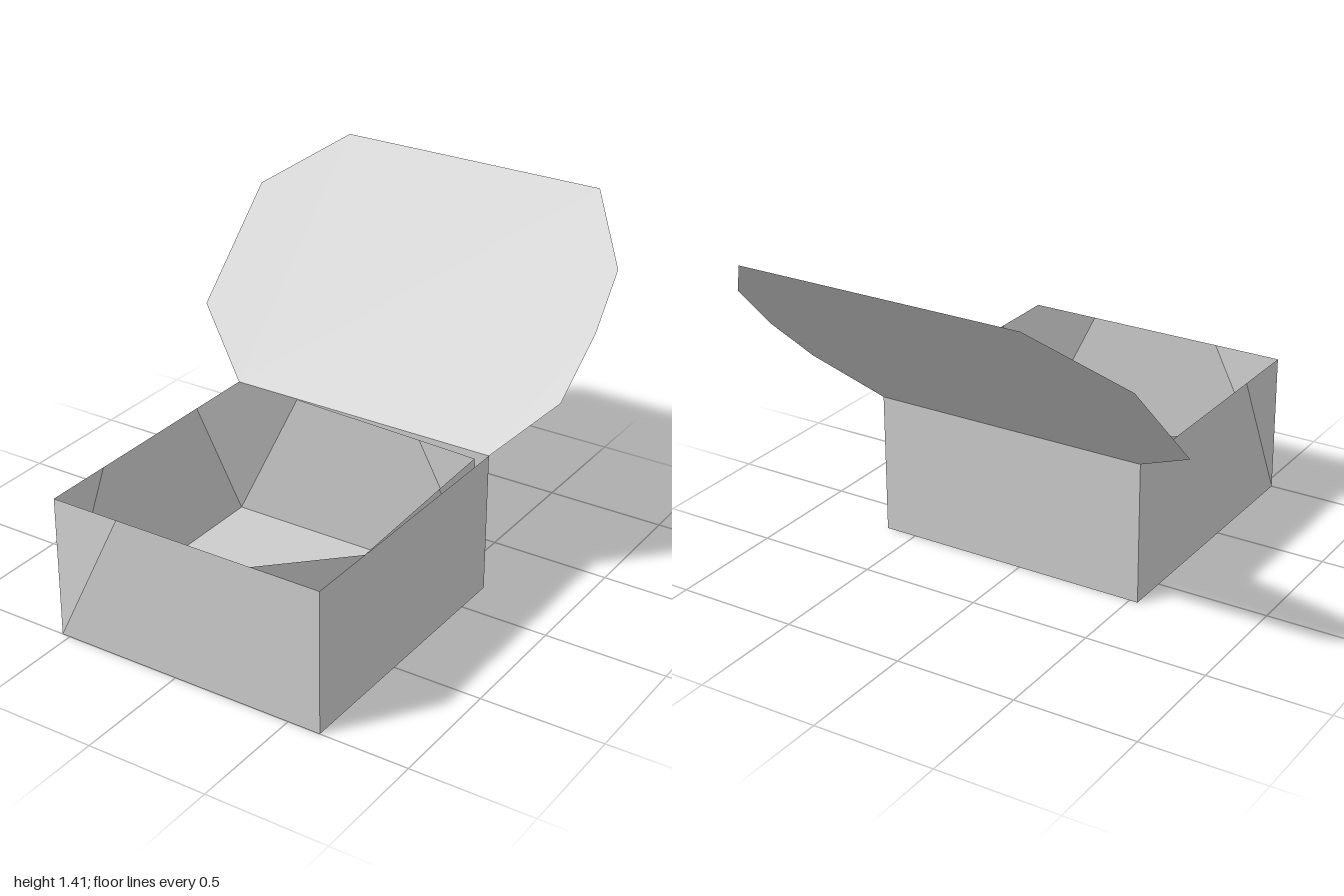
import * as THREE from 'three';

const X0 = -0.535, X1 = 0.635, Z0 = -0.17, Z1 = 1, H = 0.588, F = 0.29;

const card = new THREE.MeshStandardMaterial({ color: 0xcccccc, side: THREE.DoubleSide });

// One sheet of card: a fan of triangles from the first corner, lit with a single averaged normal
function panel(name, pts) {
  const v = pts.map((p) => new THREE.Vector3(...p));
  const n = new THREE.Vector3();
  const pos = [], nor = [];
  for (let i = 1; i < v.length - 1; i++) {
    const a = v[i].clone().sub(v[0]), b = v[i + 1].clone().sub(v[0]);
    n.add(a.cross(b));
    pos.push(...v[0].toArray(), ...v[i].toArray(), ...v[i + 1].toArray());
  }
  n.normalize();
  for (let i = 0; i < pos.length / 3; i++) nor.push(n.x, n.y, n.z);
  const g = new THREE.BufferGeometry();
  g.setAttribute('position', new THREE.Float32BufferAttribute(pos, 3));
  g.setAttribute('normal', new THREE.Float32BufferAttribute(nor, 3));
  const mesh = new THREE.Mesh(g, card);
  mesh.name = name;
  return mesh;
}

export function createModel() {
  const model = new THREE.Group();
  model.name = 'openCardboardBox';

  // Tray: floor and four walls; front and right walls stop at the folded corner
  const tray = new THREE.Group();
  tray.name = 'tray';
  tray.add(
    panel('floor', [[X0, 0, Z0], [X0, 0, Z1], [X1, 0, Z1], [X1, 0, Z0]]),
    panel('frontWall', [[X0, 0, Z1], [X1, 0, Z1], [X1, H, Z1], [X0 + F, H, Z1]]),
    panel('leftWall', [[X1, 0, Z1], [X1, 0, Z0], [X1, H, Z0], [X1, H, Z1]]),
    panel('backWall', [[X1, 0, Z0], [X0, 0, Z0], [X0, H, Z0], [X1, H, Z0]]),
    panel('rightWall', [[X0, 0, Z0], [X0, 0, Z1], [X0, H, Z1 - F], [X0, H, Z0]]),
  );
  model.add(tray);

  // Inner panels leaning slightly away from the back and left walls
  const innerX = [X1 - F, H, Z0 + 0.035], innerZ = [X1 - 0.025, H, Z0 + F + 0.04];
  model.add(
    panel('innerBackPanel', [[X0, 0, Z0], [X1, 0, Z0], innerX, [X0 + F, H, Z0 + 0.005]]),
    panel('innerLeftPanel', [[X1, 0, Z0], [X1, 0, Z1], [X1 - 0.002, H, Z1 - F], innerZ]),
  );

  // Gussets: two bridge their corner with a slanted face and a top, two follow the walls
  const gussets = new THREE.Group();
  gussets.name = 'cornerGussets';
  for (const [x, z, s, t] of [[X0, Z0, 1, 1], [X1, Z1, -1, -1]]) {
    gussets.add(panel('bridgedGusset',
      [[x, H, z + t * F], [x, 0, z], [x + s * F, H, z], [x, H, z]]));
  }
  gussets.add(
    panel('frontRightGusset', [[X0, 0, Z1], [X0, H, Z1 - F], [X0, H, Z1], [X0 + F, H, Z1]]),
    panel('backLeftGusset', [[X1, 0, Z0], innerZ, [X1 - 0.035, H, Z0 + 0.05], innerX]),
  );
  model.add(gussets);

  // Lid, opened back at 45 degrees, with a side flap bent slightly each way
  const lid = new THREE.Group();
  lid.name = 'lid';
  const top = 1.41;
  lid.add(
    panel('lidPanel', [[X0, H, Z0], [X1, H, Z0], [X1, top, -1], [X0, top, -1]]),
    panel('lidRightFlap', [[X0, H, Z0], [X0, top, -1], [-0.852, 1.19, -0.8], [-0.855, 0.78, -0.39]]),
    panel('lidLeftFlap', [[X1, H, Z0], [0.835, 0.79, -0.355], [0.855, 1.0, -0.58],
      [0.845, 1.195, -0.765], [X1, top, -1]]),
  );
  model.add(lid);

  return model;
}
